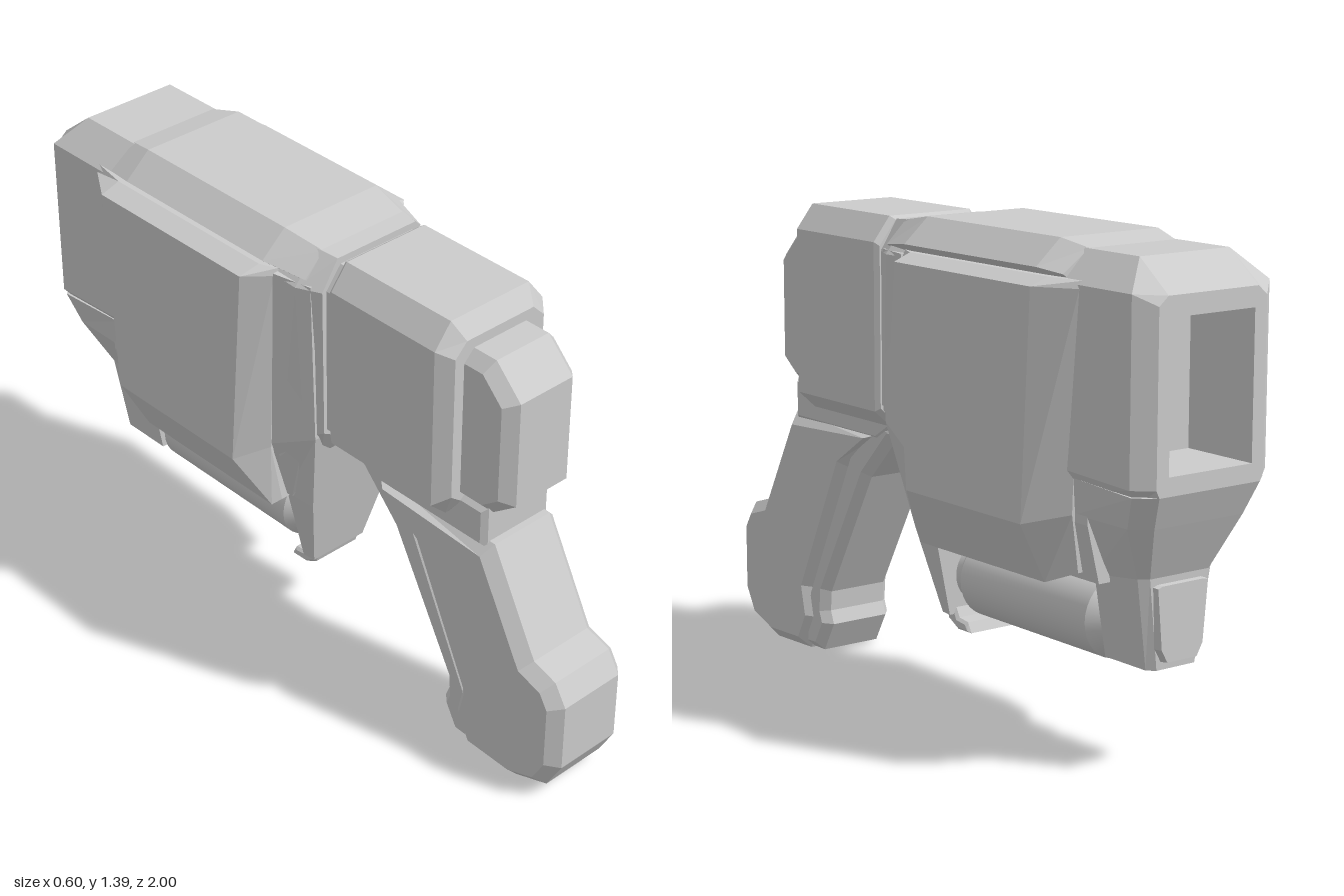
import * as THREE from 'three';
import { toCreasedNormals } from 'three/addons/utils/BufferGeometryUtils.js';

const grey = new THREE.MeshStandardMaterial({ color: 0xcccccc, flatShading: true });
const smoothGrey = new THREE.MeshStandardMaterial({ color: 0xcccccc });

// Skins mirrored sections from +z to -z. Each section lists its right half from
// bottom to top as [x, y] or [x, y, z]; the section's z is the default.
function loft(sections) {
  const rings = sections.map(([z, half]) => {
    const right = half.map((p) => [p[0], p[1], p[2] ?? z]);
    const left = right.map(([x, y, pz]) => [-x, y, pz]).reverse();
    return [...right, ...left];
  });
  const pos = [];
  const quad = (a, b, c, d) => pos.push(...a, ...b, ...c, ...a, ...c, ...d);
  const n = rings[0].length;
  for (let i = 0; i < rings.length - 1; i++) {
    const r = rings[i], s = rings[i + 1];
    for (let j = 0; j < n; j++) {
      const k = (j + 1) % n;
      quad(r[j], s[j], s[k], r[k]);
    }
  }
  // end caps, as strips across the centre line
  const a = rings[0], b = rings[rings.length - 1];
  for (let j = 0; j < n / 2 - 1; j++) {
    quad(a[j], a[j + 1], a[n - 2 - j], a[n - 1 - j]);
    quad(b[j], b[n - 1 - j], b[n - 2 - j], b[j + 1]);
  }
  const geo = new THREE.BufferGeometry();
  geo.setAttribute('position', new THREE.Float32BufferAttribute(pos, 3));
  geo.computeVertexNormals();
  return geo;
}

// Extrudes a [z, y] side profile across x with chamfered edges.
function slab(profile, halfWidth, bevel) {
  const shape = new THREE.Shape(profile.map(([z, y]) => new THREE.Vector2(z, y)));
  const geo = new THREE.ExtrudeGeometry(shape, {
    depth: 2 * (halfWidth - bevel), bevelEnabled: bevel > 0, bevelSegments: 1,
    bevelSize: bevel, bevelThickness: bevel, bevelOffset: -bevel,
  });
  geo.translate(0, 0, -(halfWidth - bevel));
  return geo.rotateY(-Math.PI / 2);
}

export function createModel() {
  const group = new THREE.Group();
  const add = (name, geo, material = grey) => {
    const mesh = new THREE.Mesh(geo, material);
    mesh.name = name;
    group.add(mesh);
  };

  // Grip, its front strip and the neck above it
  add('grip', slab([[0.72, 0.74], [0.88, 0.44], [0.96, 0.415], [1, 0.35], [1, 0.14], [0.95, 0.05],
    [0.84, 0.01], [0.66, 0.015], [0.605, 0.12], [0.625, 0.21], [0.435, 0.61], [0.28, 0.74]], 0.138, 0.035));
  add('gripStrip', slab([[0.4, 0.74], [0.66, 0.2], [0.68, 0.02], [0.6, 0.02], [0.55, 0.11],
    [0.565, 0.15], [0.56, 0.21], [0.345, 0.6], [0.21, 0.74], [0.21, 0.78], [0.3, 0.78]], 0.12, 0.025));
  add('gripNeck', slab([[0.7, 0.72], [0.7, 0.85], [0.2, 0.85], [0.2, 0.77], [0.28, 0.72]], 0.125, 0.015));

  // Rear cap and rear housing
  add('rearCap', slab([[0.55, 1.3], [0.69, 1.3], [0.78, 1.21], [0.78, 0.89], [0.7, 0.83], [0.55, 0.83]], 0.128, 0.034));
  const housing = [[0.14, 0.78], [0.195, 0.83], [0.195, 1.31], [0.14, 1.38]];
  add('rearHousing', loft([
    [0.61, [[0.12, 0.83], [0.16, 0.86], [0.16, 1.29], [0.12, 1.33]]],
    [0.57, housing],
    [0.185, housing],
    [0.17, [[0.13, 0.79], [0.185, 0.84], [0.185, 1.3], [0.13, 1.37]]],
  ]));
  add('collar', loft([[0.2, [[0.12, 0.8], [0.18, 0.85], [0.18, 1.29], [0.13, 1.355]]],
    [0.1, [[0.12, 0.8], [0.18, 0.85], [0.18, 1.29], [0.13, 1.355]]]]));

  // Main body, side panels and top cover
  const core = [[0.16, 0.52], [0.2, 0.68], [0.225, 1.29], [0.15, 1.38]];
  add('bodyCore', loft([
    [0.15, [[0.12, 0.8], [0.19, 0.84], [0.195, 1.29], [0.14, 1.375]]],
    [0.08, [[0.14, 0.7], [0.2, 0.8], [0.228, 1.29], [0.15, 1.38]]],
    [-0.02, core],
    [-0.76, core],
  ]));
  add('sidePanels', loft([
    [0, [[0.15, 0.53, -0.04], [0.18, 0.51, -0.04], [0.21, 0.7, -0.05], [0.23, 1.29, 0], [0.22, 1.31, 0]]],
    [-0.08, [[0.155, 0.53, -0.05], [0.21, 0.5, -0.05], [0.3, 0.67, -0.11], [0.3, 1.29, -0.06], [0.24, 1.31, -0.05]]],
    [-0.62, [[0.155, 0.53, -0.6], [0.21, 0.5, -0.6], [0.3, 0.67, -0.61], [0.3, 1.29, -0.645], [0.24, 1.31, -0.645]]],
    [-0.73, [[0.15, 0.55, -0.7], [0.18, 0.54, -0.7], [0.21, 0.7, -0.71], [0.23, 1.29, -0.755], [0.22, 1.31, -0.755]]],
  ]));
  const cover = [[0.215, 1.305], [0.245, 1.33], [0.165, 1.4]];
  add('topCover', loft([
    [0.1, [[0.19, 1.3], [0.21, 1.315], [0.145, 1.378]]],
    [-0.03, cover],
    [-0.6, cover],
    [-0.69, [[0.2, 1.3], [0.23, 1.32], [0.145, 1.38]]],
  ]));

  // Front guard tapering down to a small hook
  add('frontGuard', loft([
    [0, [[0.095, 0.27, 0], [0.15, 0.52, 0.058], [0.2, 0.81, 0.125], [0.21, 1.3, 0.12]]],
    [-0.04, [[0.1, 0.27, -0.04], [0.155, 0.52, -0.045], [0.215, 0.72, -0.04], [0.235, 1.3, 0]]],
  ]));
  add('guardHook', slab([[0, 0.28], [-0.01, 0.25], [-0.05, 0.228], [-0.11, 0.228],
    [-0.095, 0.257], [-0.055, 0.262], [-0.04, 0.29]], 0.085, 0.008));

  // Cylinder slung under the body
  const profile = [[0, -0.72], [0.08, -0.72], [0.08, -0.7], [0.115, -0.65], [0.115, -0.11], [0.085, -0.07],
    [0.085, -0.05], [0.075, -0.04], [0, -0.04]].map(([r, z]) => new THREE.Vector2(r, z));
  const tank = new THREE.LatheGeometry(profile, 32).rotateX(Math.PI / 2).translate(0, 0.385, 0);
  add('underCylinder', toCreasedNormals(tank, 0.4), smoothGrey);

  // Muzzle: the outer shell turns inward at its face into a square recess
  const opening = [[0.14, 0.84], [0.14, 0.85], [0.14, 1.23], [0.14, 1.24]];
  add('muzzle', loft([
    [-0.68, [[0.19, 0.76], [0.225, 0.82], [0.23, 1.3], [0.15, 1.38]]],
    [-0.9, [[0.19, 0.76, -0.93], [0.23, 0.81, -0.955], [0.23, 1.3, -0.955], [0.15, 1.38, -0.89]]],
    [-1, [[0.17, 0.79], [0.18, 0.81], [0.18, 1.27], [0.15, 1.295]]],
    [-1, opening],
    [-0.62, opening],
  ]));
  add('muzzleLower', loft([
    [-0.7, [[0.085, 0.3], [0.125, 0.53], [0.2, 0.7, -0.71], [0.215, 0.8, -0.72]]],
    [-0.86, [[0.085, 0.3, -0.86], [0.125, 0.55, -0.87], [0.2, 0.7, -0.915], [0.222, 0.79, -0.955]]],
    [-0.88, [[0.065, 0.3, -0.88], [0.1, 0.55, -0.89], [0.15, 0.7, -0.96], [0.17, 0.79, -1]]],
  ]));
  add('muzzlePlate', loft([
    [-0.86, [[0.055, 0.32], [0.08, 0.36], [0.095, 0.53], [0.08, 0.535]]],
    [-0.905, [[0.05, 0.325], [0.07, 0.36], [0.085, 0.525], [0.07, 0.53]]],
  ]));

  return group;
}
